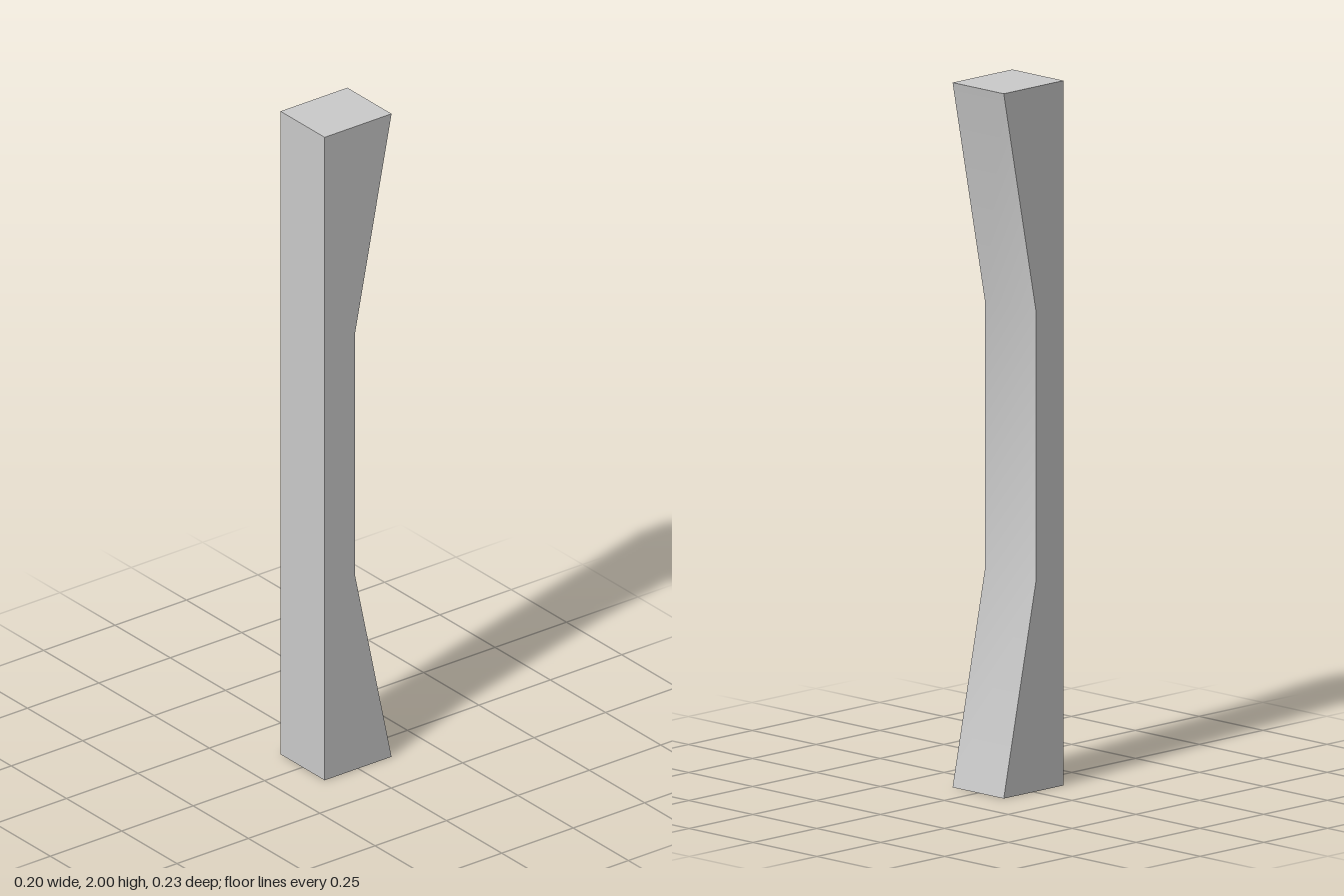
import * as THREE from 'three';
import { toCreasedNormals } from 'three/addons/utils/BufferGeometryUtils.js';

export function createModel() {
  const group = new THREE.Group();
  group.name = 'post';

  const width = 0.2, halfDepth = 0.117, waistZ = 0.01;

  // Side profile as (-z, y): straight front, back narrowing to a flat waist
  const profile = new THREE.Shape([
    [-halfDepth, 0],
    [halfDepth, 0],
    [-waistZ, 0.6],
    [-waistZ, 1.36],
    [halfDepth, 2],
    [-halfDepth, 2],
  ].map(([x, y]) => new THREE.Vector2(x, y)));

  // Extrude across the width, then turn the profile to face sideways
  const extruded = new THREE.ExtrudeGeometry(profile, { depth: width, bevelEnabled: false });
  extruded.translate(0, 0, -width / 2).rotateY(Math.PI / 2);

  // The back blends softly over its shallow bends, other edges stay sharp
  const geometry = toCreasedNormals(extruded, Math.PI / 6);
  const post = new THREE.Mesh(geometry, new THREE.MeshStandardMaterial({ color: 0xcccccc }));
  post.name = 'waistedPost';
  group.add(post);

  return group;
}
